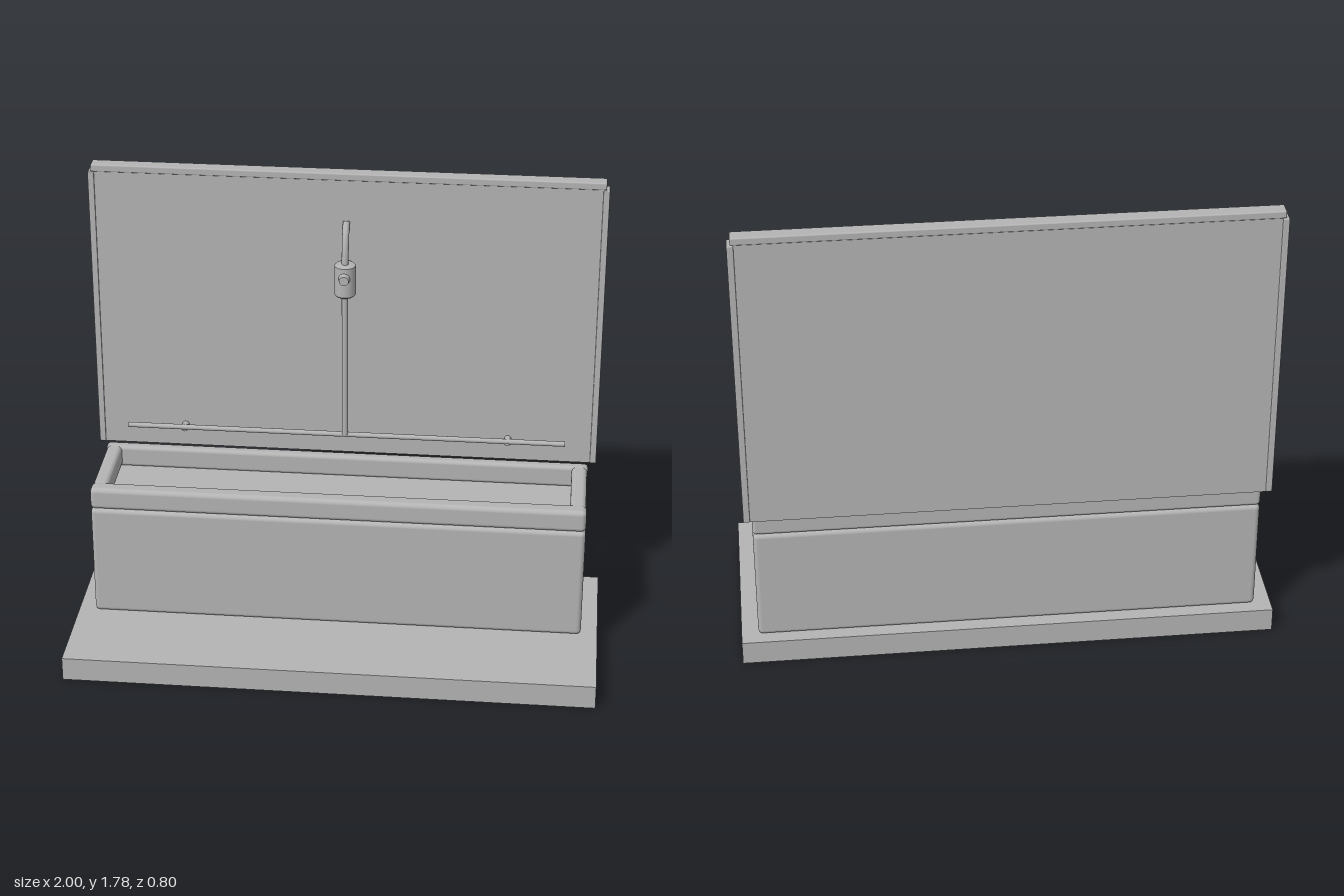
import * as THREE from 'three';
import { RoundedBoxGeometry } from 'three/addons/geometries/RoundedBoxGeometry.js';

export function createModel() {
  const model = new THREE.Group();
  model.name = 'bathtubWithScreen';
  const grey = new THREE.MeshStandardMaterial({ color: 0xb4b4b4 });
  grey.name = 'plain grey';

  const add = (name, geometry, x = 0, y = 0, z = 0, parent = model) => {
    const mesh = new THREE.Mesh(geometry, grey);
    mesh.name = name;
    mesh.position.set(x, y, z);
    parent.add(mesh);
    return mesh;
  };
  // Box given by its limits, optionally with rounded edges
  const block = (name, [x0, x1], [y0, y1], [z0, z1], r = 0) => {
    const size = [x1 - x0, y1 - y0, z1 - z0];
    const geometry = r ? new RoundedBoxGeometry(...size, 4, r) : new THREE.BoxGeometry(...size);
    return add(name, geometry, (x0 + x1) / 2, (y0 + y1) / 2, (z0 + z1) / 2);
  };
  const tube = (name, points, r) => {
    const curve = new THREE.CatmullRomCurve3(points.map((p) => new THREE.Vector3(...p)));
    const mesh = add(name, new THREE.TubeGeometry(curve, 24, r, 12));
    // Close both ends
    [0, 1].forEach((t) => {
      const cap = add(name + 'End', new THREE.CircleGeometry(r, 12), 0, 0, 0, mesh);
      const out = curve.getTangent(t).multiplyScalar(t ? 1 : -1);
      cap.position.copy(curve.getPoint(t));
      cap.quaternion.setFromUnitVectors(new THREE.Vector3(0, 0, 1), out);
    });
  };

  // Floor slab and tub body
  block('floorSlab', [-1, 1], [0, 0.092], [-0.4, 0.4]);
  block('tubBody', [-0.937, 0.937], [0.092, 0.54], [-0.355, 0.045], 0.018);

  // Raised rim around the basin
  block('frontRim', [-0.937, 0.937], [0.54, 0.627], [-0.02, 0.045], 0.018);
  block('backRim', [-0.937, 0.937], [0.54, 0.627], [-0.355, -0.31], 0.015);
  for (const s of [-1, 1]) {
    const xs = [0.875 * s, 0.934 * s].sort((a, b) => a - b);
    block('sideRim', xs, [0.542, 0.625], [-0.34, 0.02], 0.018);
  }

  // Wall panel with side posts and a top cap
  block('wallPanel', [-0.945, 0.945], [0.63, 1.757], [-0.397, -0.35]);
  for (const s of [-1, 1]) {
    const xs = [0.943 * s, 0.967 * s].sort((a, b) => a - b);
    block('sidePost', xs, [0.63, 1.755], [-0.4, -0.345], 0.004);
  }
  block('topCap', [-0.955, 0.955], [1.757, 1.785], [-0.4, -0.345], 0.005);

  // Horizontal rail with two wall brackets
  const rail = add('rail', new THREE.CylinderGeometry(0.01, 0.01, 1.69, 12), 0, 0.723, -0.316);
  rail.rotation.z = Math.PI / 2;
  for (const s of [-1, 1]) {
    const bracket = add('railBracket', new THREE.CylinderGeometry(0.014, 0.014, 0.04, 12), 0.625 * s, 0.718, -0.335);
    bracket.rotation.x = Math.PI / 2;
  }

  // Riser pipe and bent outlet
  tube('riserPipe', [[0, 0.725, -0.314], [0, 1, -0.305], [0, 1.33, -0.296]], 0.012);
  tube('outletPipe', [[0, 1.42, -0.302], [0, 1.49, -0.307], [0, 1.55, -0.323], [0, 1.595, -0.35]], 0.013);

  // Mixer valve with a control knob
  const profile = [[0, -0.064], [0.034, -0.064], [0.04, -0.058], [0.04, 0.058], [0.034, 0.064], [0, 0.064]];
  for (const [i, j] of [[0, 2], [1, 3], [2, 4], [3, 5]].map((p) => [p[0], p[1]])) {
    if (i === 1 || i === 2) continue;
    add('valveEnd', new THREE.LatheGeometry(profile.slice(i, j + 1).map((p) => new THREE.Vector2(...p)), 24), 0, 1.379, -0.305);
  }
  add('valveBody', new THREE.CylinderGeometry(0.04, 0.04, 0.116, 24, 1, true), 0, 1.379, -0.305);
  const neck = add('knobNeck', new THREE.CylinderGeometry(0.013, 0.013, 0.03, 16), 0, 1.397, -0.265);
  neck.rotation.x = Math.PI / 2;
  const knob = add('knob', new THREE.CylinderGeometry(0.018, 0.022, 0.022, 20), 0, 1.397, -0.256);
  knob.rotation.x = Math.PI / 2;

  return model;
}
